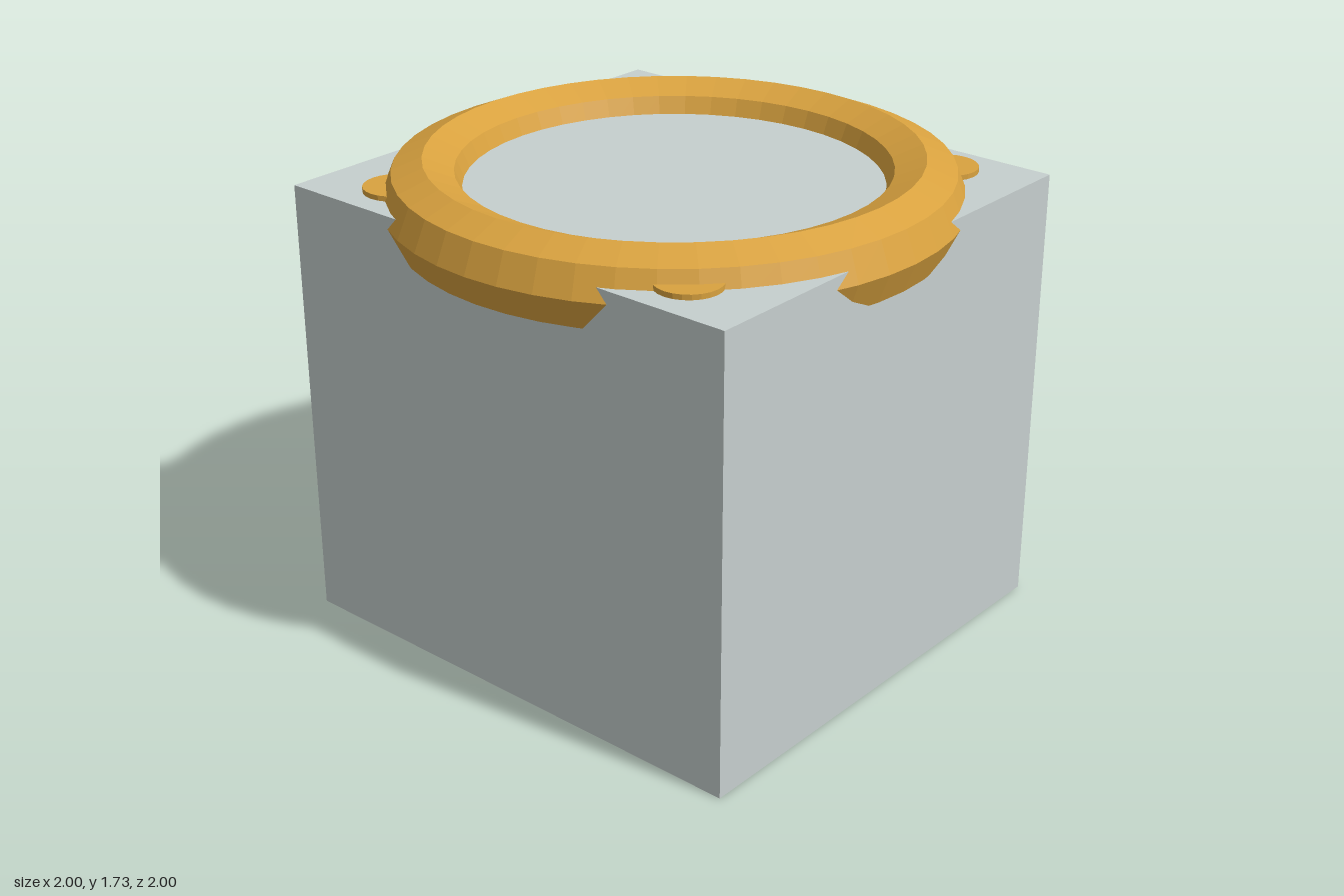
import * as THREE from 'three';

export function createModel() {
  const model = new THREE.Group();
  const grey = new THREE.MeshStandardMaterial({ color: 0xc6cfce, flatShading: true });
  grey.name = 'pale grey';
  const gold = new THREE.MeshStandardMaterial({ color: 0xd9a23f, flatShading: true });
  gold.name = 'gold';

  const add = (name, geometry, material, x, y, z) => {
    const mesh = new THREE.Mesh(geometry, material);
    mesh.name = name;
    mesh.position.set(x, y, z);
    model.add(mesh);
    return mesh;
  };

  // Solid block body
  const height = 1.625;
  add('body', new THREE.BoxGeometry(1.75, height, 1.88), grey, 0, height / 2, 0);

  // Octagonal-section ring sunk into the top, overhanging all four sides
  const ring = new THREE.TorusGeometry(0.85, 0.15, 8, 48).rotateX(-Math.PI / 2);
  add('ring', ring, gold, 0, 1.58, 0);

  // Low round studs at the four corners
  const stud = new THREE.CylinderGeometry(0.113, 0.113, 0.036, 24);
  for (const x of [-1, 1]) {
    for (const z of [-1, 1]) {
      add('cornerStud', stud, gold, x * 0.684, height, z * 0.643);
    }
  }
  return model;
}
